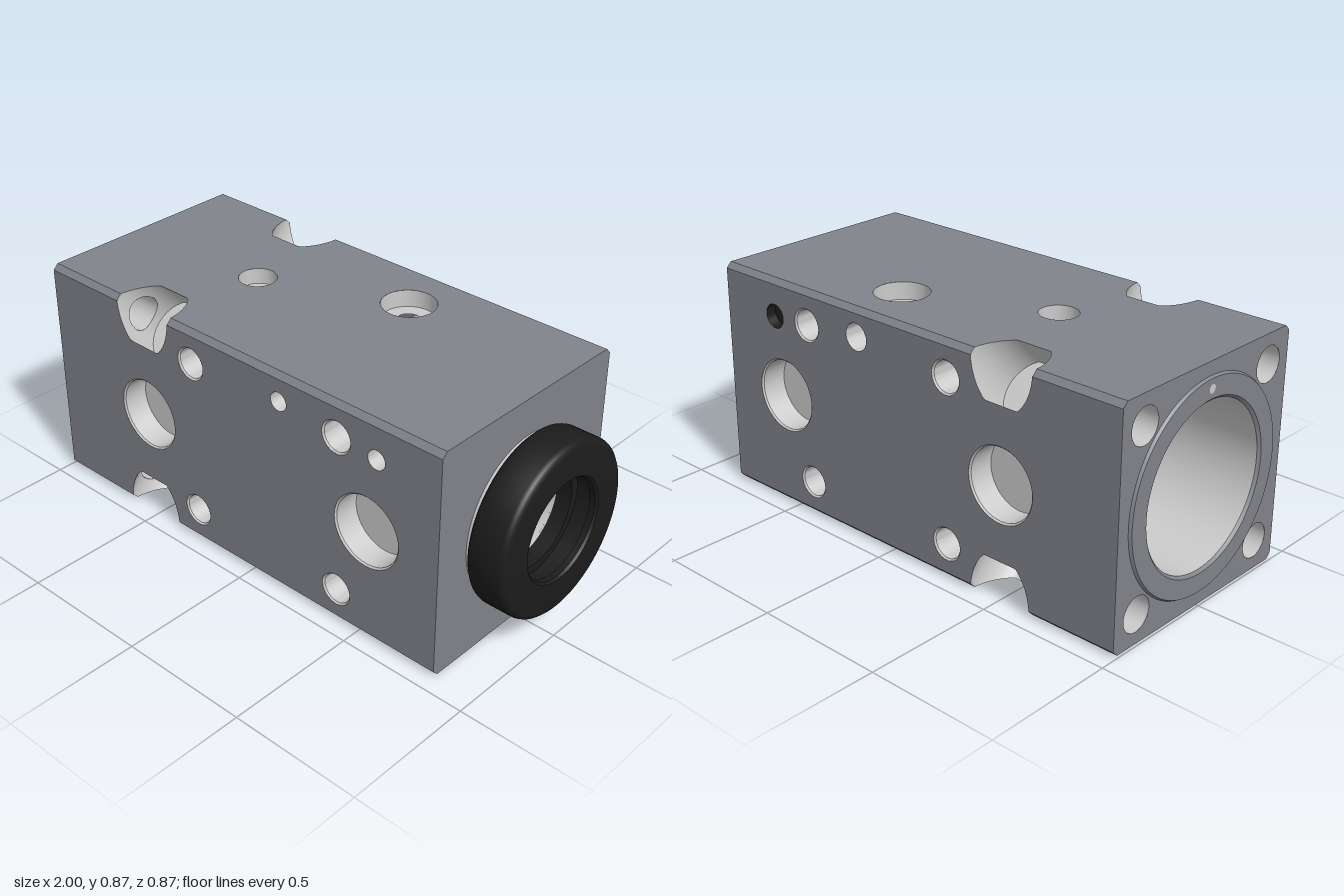
import * as THREE from 'three';
import { toCreasedNormals } from 'three/addons/utils/BufferGeometryUtils.js';
import { ParametricGeometry } from 'three/addons/geometries/ParametricGeometry.js';

const H = 0.435, C = 0.02, X0 = -0.99, X1 = 0.835;   // half width, chamfer, block ends
const PX = -0.51, PR = 0.13, PFLAT = 0.11, PD = 0.26; // corner pocket: centre, radius, flats, depth
const BO = 0.325, BR = 0.065;                         // end bolt hole: offset, radius
const BD = (H - BO) * Math.SQRT2;                     // bolt hole depth along the pocket axis

const material = (color) => new THREE.MeshStandardMaterial({ color, side: THREE.DoubleSide });

export function createModel() {
  const body = material(0x80838a), bare = material(0xcccccc), black = material(0x1c1c1c);
  const model = new THREE.Group();
  const core = new THREE.Group();
  core.name = 'block';
  core.position.y = H;
  model.add(core);

  const add = (parent, name, geo, mat) => {
    const m = new THREE.Mesh(geo, mat);
    m.name = name;
    parent.add(m);
    return m;
  };
  const lathe = (pts, seg = 48) => toCreasedNormals(
    new THREE.LatheGeometry(pts.map(([r, y]) => new THREE.Vector2(r, y)), seg), 0.6);
  const circle = (x, y, r) => new THREE.Path().absarc(x, y, r, 0, Math.PI * 2, true);
  const flatS = (t) => Math.max(-PFLAT, Math.min(PFLAT, PR * Math.sin(t)));

  // Outline of a long side with pocket notches in both long edges
  function sideShape() {
    const t0 = Math.asin(C / (PR * Math.SQRT2)), pts = [new THREE.Vector2(X1, H - C)];
    const arch = [];
    for (let i = 0; i <= 40; i++) {
      const t = t0 + (Math.PI - 2 * t0) * i / 40;
      arch.push([PX + PR * Math.cos(t), H - Math.SQRT2 * flatS(t)]);
    }
    arch.forEach(([x, y]) => pts.push(new THREE.Vector2(x, y)));
    pts.push(new THREE.Vector2(X0, H - C), new THREE.Vector2(X0, C - H));
    arch.reverse().forEach(([x, y]) => pts.push(new THREE.Vector2(x, -y)));
    pts.push(new THREE.Vector2(X1, C - H));
    return new THREE.Shape(pts);
  }

  // A side panel with drilled holes: [x, v, profile of [radius, depth], material]
  function side(name, angle, holes) {
    const g = new THREE.Group();
    g.name = name;
    g.rotation.x = angle;
    core.add(g);
    const shape = sideShape();
    for (const [x, v, profile, mat = bare] of holes) {
      if (profile[0][1] === 0) shape.holes.push(circle(x, v, profile[0][0]));
      const geo = lathe(profile.map(([r, d]) => [r, -d]), 40);
      add(g, 'hole', geo.rotateX(Math.PI / 2).translate(x, v, H), mat);
    }
    add(g, 'panel', new THREE.ShapeGeometry(shape, 24).translate(0, 0, H), body);
  }
  const blind = (r, d) => [[r, 0], [r - 0.006, 0.006], [r - 0.006, d], [0, d]];

  // Ports and threaded holes shared by front and back
  const ports = [];
  for (const x of [PX, 0.535]) ports.push([x, 0, blind(0.138, 0.1)]);
  for (const x of [-0.27, 0.405])
    for (const v of [-0.305, 0.305]) ports.push([x, v, blind(0.062, 0.13)]);

  side('front', 0, [...ports,
    [0.15, 0.33, [[0.035, 0], [0.035, 0.6]]],
    [0.575, 0.295, [[0.036, 0], [0.036, 0.08]]],
    [0.575, 0.295, [[0.036, 0.08], [0, 0.08]], black]]);
  side('back', Math.PI, [...ports,
    [0.15, -0.33, [[0.05, 0], [0.05, 0.08], [0.035, 0.08], [0.035, 0.17]]],
    [0.575, -0.295, [[0.045, 0], [0.045, 0.04], [0, 0.04]], black]]);
  side('top', -Math.PI / 2, [
    [0.15, 0.215, [[0.1, 0], [0.1, 0.065], [0.045, 0.065]]],
    [0.15, 0.215, [[0.045, 0.14], [0.045, 0.355]]],
    [-0.375, 0, [[0.07, 0], [0.07, 0.06], [0.027, 0.06], [0.027, 0.125], [0, 0.125]]]]);
  side('bottom', Math.PI / 2, [[0.15, -0.215, [[0.045, 0], [0.045, 0.355]]]]);

  // Pocket surface point: angle t around the diagonal axis, depth d from the edge
  const pocketPoint = (t, d, k, out) => {
    const s = flatS(t) * k;
    out.set(PX + PR * Math.cos(t) * k, H + (s - d) / Math.SQRT2, H - (s + d) / Math.SQRT2);
  };
  const mouth = (t) => Math.max(Math.abs(flatS(t)), C / Math.SQRT2);
  const boltGap = (t) => Math.cos(t) < 0
    ? Math.sqrt(Math.max(0, BR * BR - flatS(t) ** 2)) : 0;

  // Four long edges: chamfers, diagonal pocket, bolt hole to the end face
  for (let i = 0; i < 4; i++) {
    const g = new THREE.Group();
    g.name = 'cornerEdge';
    g.rotation.x = i * Math.PI / 2;
    core.add(g);
    for (const [a, b] of [[X0, PX - PR], [PX + PR, X1]])
      add(g, 'chamfer', new THREE.PlaneGeometry(b - a, C * Math.SQRT2)
        .rotateX(-Math.PI / 4).translate((a + b) / 2, H - C / 2, H - C / 2), body);

    const strip = (name, fn, n) => {
      const geo = new ParametricGeometry((u, v, out) => fn(u * Math.PI * 2, v, out), 96, n);
      geo.computeVertexNormals();
      add(g, name, geo, bare);
    };
    strip('pocketWallOuter', (t, v, o) =>
      pocketPoint(t, THREE.MathUtils.lerp(mouth(t), BD - boltGap(t), v), 1, o), 2);
    strip('pocketWallInner', (t, v, o) =>
      pocketPoint(t, THREE.MathUtils.lerp(BD + boltGap(t), PD, v), 1, o), 2);
    strip('pocketFloor', (t, v, o) => pocketPoint(t, PD, 1 - v, o), 1);

    // Bolt hole whose inner end follows the curved pocket wall
    const tube = new THREE.CylinderGeometry(BR, BR, 1, 32, 1, true).rotateZ(-Math.PI / 2);
    const p = tube.attributes.position;
    for (let j = 0; j < p.count; j++) {
      const s = (p.getY(j) - p.getZ(j)) / Math.SQRT2;
      p.setX(j, p.getX(j) < 0 ? X0 : PX - Math.sqrt(PR * PR - s * s));
    }
    // flip normals so the inside of the tube is lit
    tube.index.array.reverse();
    const n = tube.attributes.normal;
    for (let j = 0; j < n.count; j++) n.setXYZ(j, 0, -n.getY(j), -n.getZ(j));
    add(g, 'boltHole', tube.translate(0, BO, BO), bare);
  }

  // End faces
  function endFace(name, x, bore, bolts) {
    const k = H - C;
    const s = new THREE.Shape([[H, -k], [H, k], [k, H], [-k, H], [-H, k], [-H, -k], [-k, -H], [k, -H]]
      .map(([a, b]) => new THREE.Vector2(a, b)));
    s.holes.push(circle(0, 0, bore));
    if (bolts) for (const a of [-BO, BO]) for (const b of [-BO, BO]) s.holes.push(circle(a, b, BR));
    add(core, name, new THREE.ShapeGeometry(s, 32)
      .rotateY(Math.sign(x) * Math.PI / 2).translate(x, 0, 0), body);
  }
  endFace('boltedEnd', X0, 0.385, true);
  endFace('ringEnd', X1, 0.185, false);

  // Turned parts along x: [radius, x]
  const turned = (name, pts, mat) => add(core, name, lathe(pts, 80).rotateZ(-Math.PI / 2), mat);
  turned('endFlange', [[0.386, X0], [0.38, -1], [0.31, -1], [0.3, -0.99]], body);
  turned('bore', [[0.3, -0.99], [0.3, -0.05], [0.185, -0.05], [0.185, 0.84]], bare);
  turned('collar', [[0.295, X1], [0.295, 0.852]], bare);
  turned('endRing', [
    [0.185, 0.84], [0.185, 0.9], [0.215, 0.9], [0.215, 0.97], [0.185, 0.97], [0.185, 0.992], [0.193, 1],
    [0.298, 1], [0.31, 0.997], [0.318, 0.989], [0.322, 0.977],
    [0.322, 0.873], [0.318, 0.861], [0.31, 0.853], [0.298, 0.85], [0.185, 0.85]], black);

  // Small vent in the flange
  add(core, 'flangeVent', new THREE.CircleGeometry(0.016, 16)
    .rotateY(-Math.PI / 2).translate(-1.0005, 0.345, 0), bare);

  return model;
}
